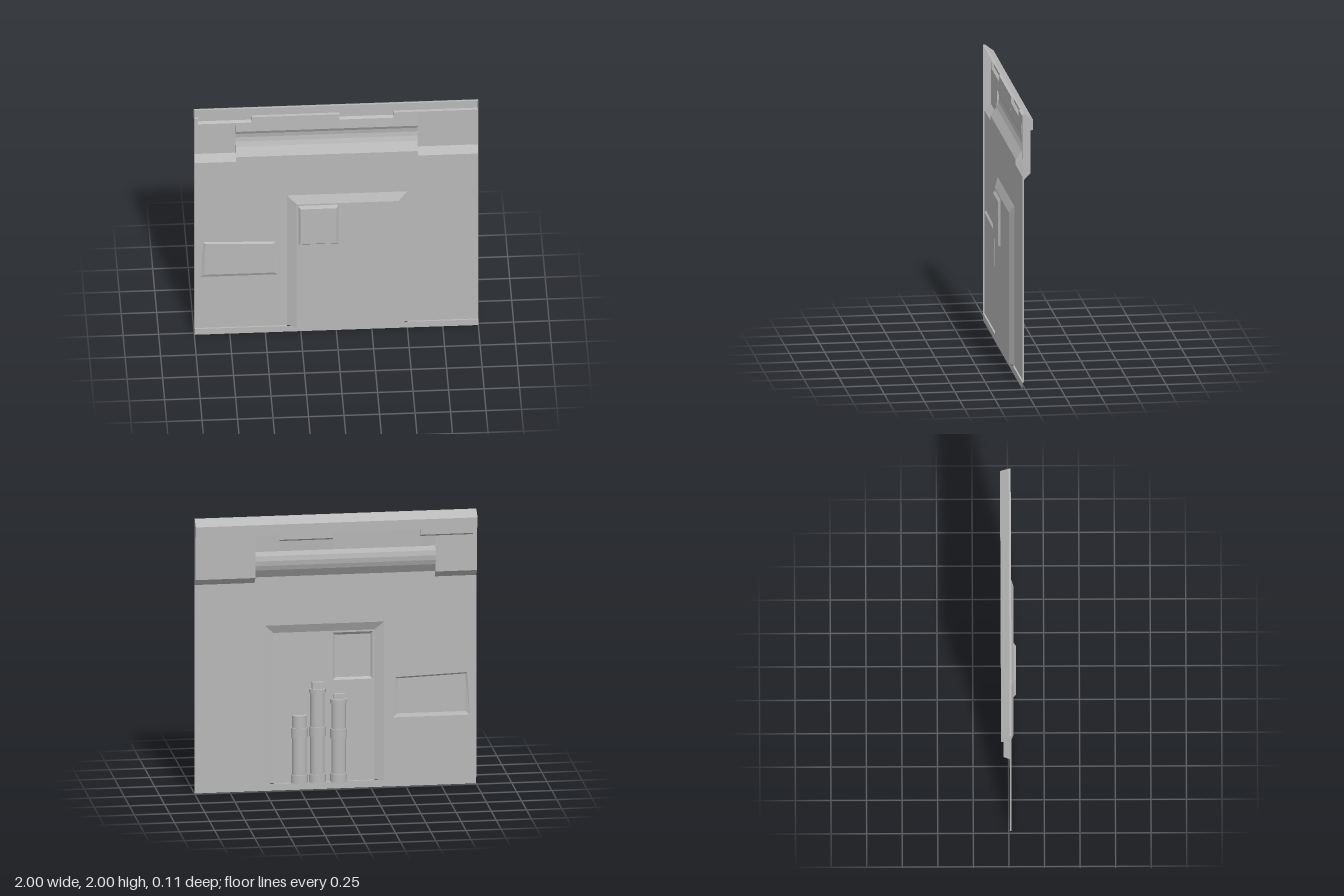
import * as THREE from 'three';

const WALL = 0.008, RIM = 0.02, DOOR = 0.037, WINDOW = 0.053, PANEL = 0.019;

export function createModel() {
  const group = new THREE.Group();
  const grey = new THREE.MeshStandardMaterial({ color: 0xb8b8b8, side: THREE.DoubleSide });
  grey.name = 'plain grey';

  const add = (name, geometry, parent = group) => {
    const mesh = new THREE.Mesh(geometry, grey);
    mesh.name = name;
    parent.add(mesh);
    return mesh;
  };

  // Flat-faced skin through matching rows of [x, y, z] points
  const skin = (rows) => {
    const p = [];
    for (let r = 0; r + 1 < rows.length; r++) {
      const a = rows[r], b = rows[r + 1];
      for (let i = 0; i + 1 < a.length; i++) {
        p.push(...a[i], ...a[i + 1], ...b[i + 1], ...a[i], ...b[i + 1], ...b[i]);
      }
    }
    const g = new THREE.BufferGeometry();
    g.setAttribute('position', new THREE.Float32BufferAttribute(p, 3));
    g.computeVertexNormals();
    return g;
  };
  const atZ = (pts, z) => pts.map(([x, y]) => [x, y, z]);
  const closed = (pts) => [...pts, pts[0]];
  const rect = (x0, y0, x1, y1) => [[x0, y0], [x0, y1], [x1, y1], [x1, y0]];
  const vectors = (pts) => pts.map(([x, y]) => new THREE.Vector2(x, y));

  // Flat sheet with optional holes
  const sheet = (pts, z, holes = []) => {
    const s = new THREE.Shape(vectors(pts));
    holes.forEach((h) => s.holes.push(new THREE.Path(vectors(h))));
    return new THREE.ShapeGeometry(s).translate(0, 0, z);
  };

  // Outlines of the pressed-out areas
  const doorOuter = rect(-0.345, 0.05, 0.5, 1.205);
  const doorInner = rect(-0.28, 0.05, 0.437, 1.143);
  const windowOuter = rect(-0.267, 0.785, 0.013, 1.13);
  const windowInner = rect(-0.254, 0.8, 0.0, 1.11);
  const panelOuter = [[-0.955, 0.505], [-0.935, 0.815], [-0.425, 0.797], [-0.41, 0.505]];
  const panelInner = [[-0.925, 0.53], [-0.922, 0.803], [-0.442, 0.785], [-0.438, 0.53]];

  // Wall sheet, cut around the doorway
  const wallOutline = [
    [-1, 0.05], [-1, 1.52], [-0.705, 1.52], [-0.705, 1.56], [0.575, 1.56], [0.575, 1.52],
    [1, 1.52], [1, 0.05], ...[...doorOuter].reverse(),
  ];
  add('wall', sheet(wallOutline, WALL, [panelOuter]));

  // Doorway with bevelled surround and raised window
  add('doorBevel', skin([atZ(doorOuter, WALL), atZ(doorInner, DOOR)]));
  add('doorPlate', sheet(doorInner, DOOR, [windowOuter]));
  add('windowBevel', skin([atZ(closed(windowOuter), DOOR), atZ(closed(windowInner), WINDOW)]));
  add('windowPlate', sheet(windowInner, WINDOW));

  // Low side panel
  add('panelBevel', skin([atZ(closed(panelOuter), WALL), atZ(closed(panelInner), PANEL)]));
  add('panelPlate', sheet(panelInner, PANEL));

  // Bottom strip and the narrow ledge above it
  add('bottomStrip', sheet(rect(-1, 0, 1, 0.05), RIM));
  const ledges = [[-1, -0.345, WALL], [0.5, 1, WALL], [-0.28, 0.437, DOOR]];
  for (const [x0, x1, z] of ledges) {
    add('bottomLedge', skin([[[x0, 0.05, RIM], [x1, 0.05, RIM]], [[x0, 0.05, z], [x1, 0.05, z]]]));
  }

  // Header trim: side profile as [y, z], with optional lip tab and rounded bar
  const profile = (tab, bar) => [
    [2, RIM], [2, 0.006], [1.955, -0.055],
    [tab ? 1.843 : 1.88, -0.055], [tab ? 1.83 : 1.877, -0.037],
    ...(bar
      ? [[1.755, -0.032], [1.725, -0.048], [1.69, -0.053], [1.655, -0.048], [1.62, -0.034], [1.56, WALL]]
      : [[1.755, -0.037], [1.725, -0.037], [1.69, -0.037], [1.655, -0.037], [1.567, -0.037], [1.52, WALL]]),
  ];
  const stations = [-1, -0.97, -0.705, -0.595, 0.025, 0.405, 0.575, 1];
  const rows = [];
  for (let i = 0; i + 1 < stations.length; i++) {
    const x0 = stations[i], x1 = stations[i + 1], mid = (x0 + x1) / 2;
    const tab = (mid > -0.97 && mid < -0.595) || (mid > 0.025 && mid < 0.405);
    const section = profile(tab, mid > -0.705 && mid < 0.575);
    for (const x of [x0, x1]) rows.push(section.map(([y, z]) => [x, y, z]));
  }
  add('headerTrim', skin(rows));

  // Side edges closing the trim and the wall rim
  const edge = [...profile(false, false), [0.05, WALL], [0.05, RIM]];
  for (const side of [-1, 1]) {
    const g = new THREE.ShapeGeometry(new THREE.Shape(edge.map(([y, z]) => new THREE.Vector2(-z, y))));
    add('sideEdge', g.rotateY(Math.PI / 2).translate(side, 0, 0));
  }

  // Half-round pipes standing in the recess behind the door
  const halfRound = (name, r, y0, y1, parent) => {
    const g = new THREE.CylinderGeometry(r, r, y1 - y0, 10, 1, false, Math.PI / 2, Math.PI);
    add(name, g.translate(0, (y0 + y1) / 2, 0), parent);
  };
  const pipes = [
    { x: 0.253, top: 0.54, ring: 0.38 },
    { x: 0.125, top: 0.7, ring: 0.385, cap: 0.78 },
    { x: -0.026, top: 0.62, ring: 0.365, cap: 0.69 },
  ];
  for (const { x, top, ring, cap } of pipes) {
    const pipe = new THREE.Group();
    pipe.name = 'pipe';
    pipe.position.set(x, 0, DOOR - 0.001);
    pipe.scale.z = 0.86;
    halfRound('pipeBody', 0.051, 0.05, top, pipe);
    halfRound('pipeFoot', 0.06, 0.05, 0.11, pipe);
    halfRound('pipeRing', 0.06, ring, ring + 0.07, pipe);
    if (cap) {
      halfRound('pipeCollar', 0.06, top, top + 0.03, pipe);
      const h = cap - top - 0.03;
      add('pipeCap', new THREE.BoxGeometry(0.08, h, 0.036).translate(0, cap - h / 2, -0.019), pipe);
    }
    group.add(pipe);
  }

  return group;
}
